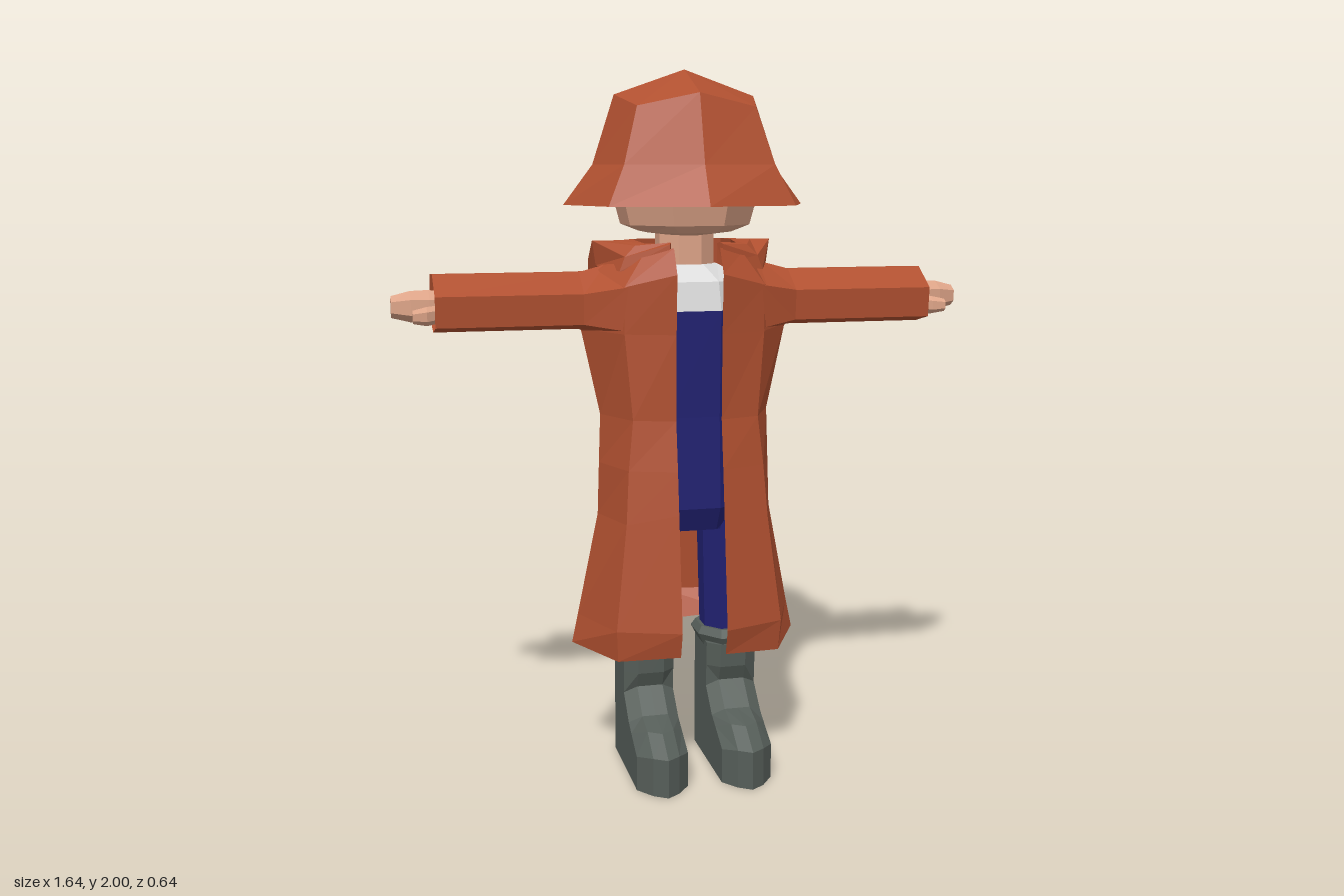
import * as THREE from 'three';

const mat = (name, color, side = THREE.FrontSide) =>
  Object.assign(new THREE.MeshStandardMaterial({ color, side, flatShading: true }), { name });

// Skins a list of equal-length loops; caps are optional centre points [start, end].
function loft(rings, closed = true, caps = []) {
  const out = [];
  const tri = (a, b, c) => out.push(...a, ...b, ...c);
  const n = rings[0].length;
  const last = closed ? n : n - 1;
  for (let i = 0; i < rings.length - 1; i++) {
    for (let j = 0; j < last; j++) {
      const k = (j + 1) % n;
      tri(rings[i][j], rings[i][k], rings[i + 1][k]);
      tri(rings[i][j], rings[i + 1][k], rings[i + 1][j]);
    }
  }
  const end = rings[rings.length - 1];
  for (let j = 0; j < n; j++) {
    const k = (j + 1) % n;
    if (caps[0]) tri(caps[0], rings[0][k], rings[0][j]);
    if (caps[1]) tri(caps[1], end[j], end[k]);
  }
  const g = new THREE.BufferGeometry();
  g.setAttribute('position', new THREE.Float32BufferAttribute(out, 3));
  g.computeVertexNormals();
  return g;
}

// Mirrors a non-indexed geometry in x and restores its winding.
function mirrored(geometry) {
  const p = geometry.getAttribute('position').array;
  const out = [];
  for (let i = 0; i < p.length; i += 9)
    for (const k of [0, 6, 3]) out.push(-p[i + k], p[i + k + 1], p[i + k + 2]);
  const g = new THREE.BufferGeometry();
  g.setAttribute('position', new THREE.Float32BufferAttribute(out, 3));
  g.computeVertexNormals();
  return g;
}

// Horizontal eight-sided loop; "drop" lowers and "bulge" widens the diagonal corners.
function oct(y, rx, rz, { cx = 0, phase = 0, drop = 0, bulge = 1 } = {}) {
  return Array.from({ length: 8 }, (_, i) => {
    const a = i * Math.PI / 4 + phase;
    const s = i % 2 ? bulge : 1;
    return [cx + rx * s * Math.sin(a), y - (i % 2) * drop, rz * s * Math.cos(a)];
  });
}

// Reflects half a section (front to back centre) into a full strip.
const bothSides = half => [...half, ...half.slice(0, -1).reverse().map(([x, y, z]) => [-x, y, z])];

export function createModel() {
  const model = new THREE.Group();
  const coat = mat('coatOrange', 0xb05030, THREE.DoubleSide);
  const skin = mat('skin', 0xdca387);
  const white = mat('shirtWhite', 0xdcdcdc);
  const blue = mat('trouserBlue', 0x212172);
  const rubber = mat('bootGrey', 0x565e59);

  const add = (name, geometry, material) => {
    const m = new THREE.Mesh(geometry, material);
    m.name = name;
    model.add(m);
  };
  const addPair = (name, geometry, material) => {
    add('left' + name, geometry, material);
    add('right' + name, mirrored(geometry), material);
  };

  // Rain hat
  add('hat', loft([
    oct(1.63, 0.345, 0.295, { bulge: 1.06 }),
    oct(1.74, 0.262, 0.235, { bulge: 1.13 }),
    oct(1.93, 0.2, 0.178, { drop: 0.035, bulge: 1.17 }),
  ], true, [null, [0, 2, 0]]), coat);

  // Head and neck
  const flat = { phase: Math.PI / 8 };
  add('head', loft([
    oct(1.555, 0.13, 0.16, flat), oct(1.575, 0.185, 0.185, flat),
    oct(1.63, 0.2, 0.2, flat), oct(1.8, 0.18, 0.17, flat),
  ], true, [[0, 1.54, 0.03], [0, 1.86, 0]]), skin);
  add('neck', loft([oct(1.42, 0.085, 0.075, flat), oct(1.57, 0.085, 0.075, flat)]), skin);

  // Shirt and overalls
  add('shirt', loft([
    oct(1.34, 0.19, 0.15, flat), oct(1.42, 0.18, 0.135, flat), oct(1.465, 0.095, 0.085, flat),
  ], true, [null, [0, 1.465, 0]]), white);
  add('overalls', loft([
    oct(0.705, 0.19, 0.1, flat), oct(0.775, 0.2, 0.135, flat),
    oct(1.04, 0.19, 0.135, flat), oct(1.34, 0.19, 0.15, flat),
  ], true, [[0, 0.705, 0], null]), blue);
  addPair('TrouserLeg', loft([
    oct(0.36, 0.07, 0.08, { cx: 0.12, ...flat }),
    oct(0.74, 0.075, 0.095, { cx: 0.115, ...flat }),
  ]), blue);

  // Boots: side profiles (z, y) at five widths, the toe longest in the middle
  const bootProfile = (inset, toe, sink) => [[-0.1 + inset, 0], [-0.1 + inset, 0.36], [0.105 - inset, 0.36],
    [0.1 - inset, 0.29], [0.08 - inset / 2, 0.245 - sink], [0.15 - inset / 2, 0.18 - sink],
    [toe - 0.075, 0.16 - sink], [toe, 0.11 - sink / 2], [toe, 0]];
  const slice = (x, profile) => profile.map(([z, y]) => [x, y, z]);
  addPair('Boot', loft([
    slice(0.05, bootProfile(0.03, 0.25, 0.02)), slice(0.085, bootProfile(0, 0.295, 0)),
    slice(0.122, bootProfile(0, 0.32, 0)), slice(0.16, bootProfile(0, 0.295, 0)),
    slice(0.197, bootProfile(0.03, 0.245, 0.02)),
  ], true, [[0.05, 0.05, 0], [0.197, 0.05, 0]]), rubber);
  addPair('BootRim', loft([
    oct(0.34, 0.076, 0.1, { cx: 0.122, ...flat }), oct(0.38, 0.098, 0.122, { cx: 0.122, ...flat }),
    oct(0.4, 0.085, 0.1, { cx: 0.122, ...flat }),
  ], true, [null, [0.122, 0.39, 0]]), rubber);

  // Open coat: half sections from front edge round to the back, hem upward
  const coatRows = [
    [[0.065, 0.375, 0.23], [0.235, 0.36, 0.18], [0.335, 0.365, -0.01], [0.205, 0.36, -0.205], [0, 0.33, -0.265]],
    [[0.065, 0.45, 0.25], [0.24, 0.45, 0.19], [0.317, 0.45, -0.01], [0.21, 0.43, -0.24], [0, 0.42, -0.3]],
    [[0.065, 0.78, 0.21], [0.205, 0.75, 0.165], [0.257, 0.75, 0], [0.165, 0.8, -0.195], [0, 0.8, -0.26]],
    [[0.065, 0.9, 0.195], [0.195, 0.9, 0.15], [0.252, 0.9, 0], [0.17, 0.92, -0.15], [0, 0.9, -0.2]],
    [[0.065, 1.04, 0.175], [0.18, 1.04, 0.14], [0.247, 1.04, 0], [0.17, 1.04, -0.14], [0, 1.04, -0.185]],
    [[0.065, 1.28, 0.18], [0.2, 1.28, 0.13], [0.3, 1.285, 0], [0.19, 1.28, -0.12], [0, 1.28, -0.15]],
    [[0.065, 1.445, 0.19], [0.2, 1.41, 0.135], [0.28, 1.44, 0], [0.2, 1.42, -0.12], [0, 1.43, -0.14]],
    [[0.065, 1.515, 0.15], [0.14, 1.5, 0.11], [0.19, 1.49, 0], [0.13, 1.49, -0.1], [0, 1.49, -0.12]],
  ];
  add('coat', loft(coatRows.map(bothSides), false), coat);

  // Collar and lowered hood: cross-sections from the front round to the back
  const hoodSections = [
    [[0.065, 1.525, 0.115], [0.07, 1.53, 0.13], [0.075, 1.525, 0.145], [0.075, 1.47, 0.15], [0.065, 1.47, 0.12]],
    [[0.13, 1.525, 0.08], [0.16, 1.52, 0.085], [0.19, 1.49, 0.09], [0.205, 1.45, 0.09], [0.14, 1.46, 0.08]],
    [[0.14, 1.53, -0.02], [0.2, 1.53, -0.025], [0.26, 1.53, -0.03], [0.25, 1.46, -0.03], [0.16, 1.46, -0.02]],
    [[0.13, 1.53, -0.09], [0.21, 1.52, -0.14], [0.245, 1.47, -0.18], [0.235, 1.3, -0.15], [0.15, 1.32, -0.1]],
    [[0.1, 1.53, -0.1], [0.19, 1.495, -0.2], [0.235, 1.42, -0.24], [0.225, 1.25, -0.23], [0.13, 1.25, -0.12]],
    [[0.06, 1.53, -0.11], [0.1, 1.49, -0.22], [0.13, 1.4, -0.295], [0.13, 1.235, -0.285], [0.07, 1.24, -0.13]],
    [[0, 1.53, -0.115], [0, 1.49, -0.225], [0, 1.385, -0.32], [0, 1.23, -0.31], [0, 1.24, -0.135]],
  ];
  const mirroredSections = hoodSections.slice(0, -1).reverse().map(s => s.map(([x, y, z]) => [-x, y, z]));
  const hood = [...hoodSections, ...mirroredSections];
  add('hood', loft(hood.map(s => [...s].reverse()), true, [[0.07, 1.495, 0.13], [-0.07, 1.495, 0.13]]), coat);

  // Sleeves flare into the shoulders; the shirt shows deep inside
  const sleeveRing = (x, s = 1) => [[1.445, 0.01], [1.39, 0.095], [1.305, 0.088], [1.285, 0],
    [1.305, -0.08], [1.385, -0.097], [1.44, -0.08]].map(([y, z]) => [x, 1.365 + (y - 1.365) * s, z * s]);
  const shoulder = [[0.23, 1.465, 0.01], [0.19, 1.41, 0.14], [0.205, 1.29, 0.128], [0.298, 1.28, 0],
    [0.2, 1.29, -0.118], [0.195, 1.39, -0.122], [0.21, 1.445, -0.08]];
  addPair('Sleeve', loft([shoulder, sleeveRing(0.305), sleeveRing(0.71)]), coat);
  addPair('ShirtCuff', loft([sleeveRing(0.4, 0.95), sleeveRing(0.5, 0.95)], true, [null, [0.5, 1.365, 0]]), white);

  // Hands: six-sided rings along x, with a thumb toward the front
  const palm = (x, y, z, ry, rz) => Array.from({ length: 6 }, (_, i) => {
    const a = i * Math.PI / 3;
    return [x, y + ry * Math.cos(a), z + rz * Math.sin(a)];
  });
  addPair('Hand', loft([
    palm(0.64, 1.355, 0, 0.035, 0.04), palm(0.72, 1.355, -0.005, 0.047, 0.05),
    palm(0.77, 1.357, -0.008, 0.043, 0.047), palm(0.822, 1.357, -0.008, 0.03, 0.026),
  ], true, [[0.64, 1.355, 0], [0.822, 1.357, -0.008]]), skin);
  addPair('Thumb', loft([
    palm(0.68, 1.34, 0.025, 0.024, 0.022), palm(0.73, 1.335, 0.055, 0.026, 0.024),
    palm(0.768, 1.335, 0.068, 0.018, 0.014),
  ], true, [null, [0.768, 1.335, 0.068]]), skin);

  return model;
}
